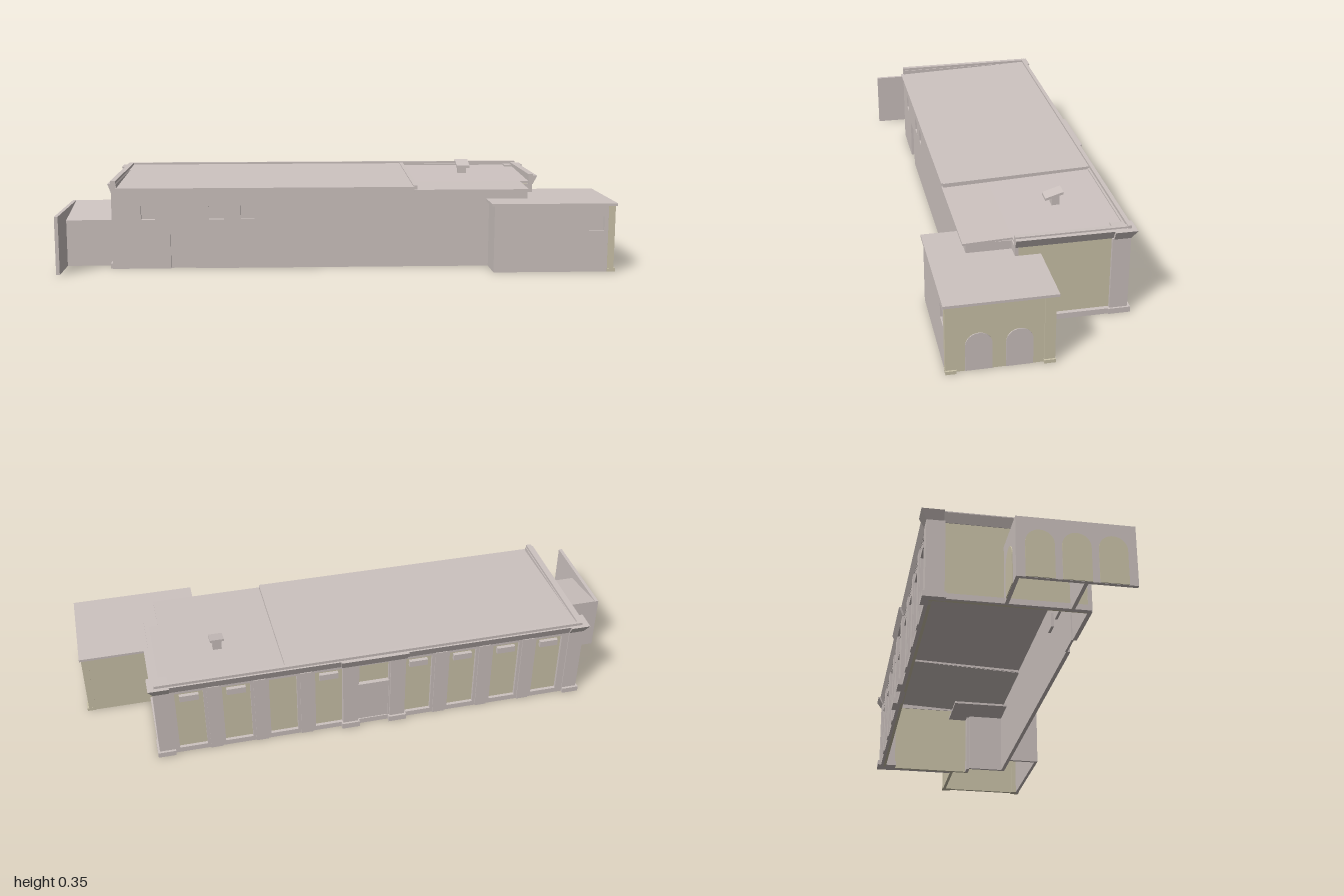
import * as THREE from 'three';

const pale = new THREE.MeshStandardMaterial({ color: 0xcdc3c0 });
pale.name = 'pale plaster';
const beige = new THREE.MeshStandardMaterial({ color: 0xcdc5ab });
beige.name = 'beige wall';

export function createModel() {
  const model = new THREE.Group();
  model.name = 'longHall';

  const add = (name, geo, mat) => {
    const mesh = new THREE.Mesh(geo, mat);
    mesh.name = name;
    model.add(mesh);
    return mesh;
  };
  const box = (name, mat, x0, x1, y0, y1, z0, z1) => {
    const g = new THREE.BoxGeometry(x1 - x0, y1 - y0, z1 - z0);
    g.translate((x0 + x1) / 2, (y0 + y1) / 2, (z0 + z1) / 2);
    return add(name, g, mat);
  };
  // Box whose top edges spread outwards, for the flared cornice
  const flare = (name, x0, x1, z0, z1, left, right, back, y0 = 0.28, y1 = 0.312) => {
    const mesh = box(name, pale, x0, x1, y0, y1, z0, z1);
    const p = mesh.geometry.attributes.position;
    const mx = (x0 + x1) / 2, mz = (z0 + z1) / 2, my = (y0 + y1) / 2;
    for (let i = 0; i < p.count; i++) {
      if (p.getY(i) < my) continue;
      p.setX(i, p.getX(i) + (p.getX(i) < mx ? -left : right));
      if (p.getZ(i) < mz) p.setZ(i, p.getZ(i) - back);
    }
    mesh.geometry.computeVertexNormals();
  };
  // Outline of [z, y] points swept from x0 to x1
  const prism = (name, mat, pts, x0, x1) => {
    const shape = new THREE.Shape(pts.map(([z, y]) => new THREE.Vector2(-z, y)));
    const g = new THREE.ExtrudeGeometry(shape, { depth: x1 - x0, bevelEnabled: false });
    g.rotateY(Math.PI / 2).translate(x0, 0, 0);
    add(name, g, mat);
  };
  // Upright wall in the xy plane with rectangular holes [x0, x1, y0, y1]
  const wall = (name, mat, outline, holes, z0, z1) => {
    const shape = new THREE.Shape(outline.map(([x, y]) => new THREE.Vector2(x, y)));
    for (const [a, b, c, d] of holes) {
      shape.holes.push(new THREE.Path([[a, c], [a, d], [b, d], [b, c]].map(([x, y]) => new THREE.Vector2(x, y))));
    }
    const g = new THREE.ExtrudeGeometry(shape, { depth: z1 - z0, bevelEnabled: false });
    add(name, g.translate(0, 0, z0), mat);
  };
  // Thin round-headed panel
  const arch = (name, mat, w, h, x, z, turn) => {
    const r = w / 2, s = new THREE.Shape();
    s.moveTo(-r, 0);
    s.lineTo(r, 0);
    s.lineTo(r, h - r);
    s.absarc(0, h - r, r, 0, Math.PI, false);
    const g = new THREE.ExtrudeGeometry(s, { depth: 0.004, bevelEnabled: false, curveSegments: 10 });
    add(name, g.rotateY(turn).translate(x, 0.001, z), mat);
  };

  // Front wall with recessed windows and door
  const windows = [[-0.705, -0.655, 0.18, 0.23], [-0.46, -0.405, 0.18, 0.23], [-0.345, -0.295, 0.18, 0.23]];
  wall('frontWall', pale, [[-0.81, 0], [-0.6, 0], [-0.6, 0.15], [-0.51, 0.15], [-0.51, 0], [0.7, 0],
    [0.7, 0.279], [0.287, 0.279], [0.287, 0.291], [-0.81, 0.291]], windows, 0.2, 0.214);
  windows.forEach(([a, b, c, d]) => box('frontWindow', pale, a - 0.002, b + 0.002, c - 0.002, d + 0.002, 0.19, 0.2));
  box('frontDoor', pale, -0.602, -0.508, 0, 0.152, 0.196, 0.204);

  // End walls, with the step in the corner beside the side block
  box('rightEndWall', beige, -0.808, -0.796, 0, 0.29, -0.31, 0.2);
  box('leftEndWall', beige, 0.738, 0.75, 0, 0.285, -0.31, 0.06);
  box('cornerReturnWall', pale, 0.7, 0.75, 0, 0.28, 0.05, 0.062);
  box('cornerSideWall', pale, 0.688, 0.7, 0, 0.28, 0.06, 0.2);
  box('rightEndPlinth', pale, -0.818, -0.8, 0, 0.02, -0.3, 0.21);
  box('leftEndPlinth', pale, 0.745, 0.765, 0, 0.02, -0.3, -0.015);

  // Back wall: beige infill behind a pale frame of bays
  const cx = -0.025, pitch = 0.166;
  const bays = [];
  for (let k = -4; k <= 4; k++) {
    const x = cx + k * pitch, half = k === 0 ? 0.055 : 0.05;
    bays.push([x - half, x + half, 0.02, 0.27]);
    if (k !== 0 && k !== 2) box('ventBox', pale, x - 0.034, x + 0.034, 0.232, 0.256, -0.32, -0.3);
  }
  box('backInfill', beige, -0.8, 0.745, 0, 0.3, -0.306, -0.296);
  wall('backFrame', pale, [[-0.81, 0], [0.755, 0], [0.755, 0.31], [-0.81, 0.31]], bays, -0.318, -0.306);
  box('backDoor', pale, cx - 0.055, cx + 0.055, 0, 0.18, -0.314, -0.3);
  box('backDoorHead', pale, cx - 0.058, cx + 0.058, 0.18, 0.188, -0.322, -0.3);

  // Pilasters between the bays, wider ones beside the back door
  for (const s of [-1, 1]) {
    for (const k of [1.5, 2.5, 3.5]) {
      const x = cx + s * k * pitch;
      box('pilaster', pale, x - 0.022, x + 0.022, 0, 0.28, -0.322, -0.31);
    }
    const x = cx + s * 0.088;
    box('doorPilaster', pale, x - 0.028, x + 0.028, 0, 0.28, -0.326, -0.31);
    box('doorPilasterBase', pale, x - 0.033, x + 0.033, 0, 0.022, -0.334, -0.31);
  }

  // Corner piers with bases and flared heads
  for (const [x0, x1, l, r] of [[-0.82, -0.765, 0.015, 0], [0.705, 0.762, 0, 0.016]]) {
    box('cornerPier', pale, x0, x1, 0, 0.282, -0.322, -0.26);
    box('cornerPierBase', pale, x0 - (l ? 0.007 : 0), x1 + (r ? 0.007 : 0), 0, 0.02, -0.331, -0.255);
    flare('cornerPierHead', x0, x1, -0.322, -0.265, l, r, 0.018);
  }

  // Cornice along the back and both ends
  flare('backCornice', -0.81, 0.755, -0.319, -0.305, 0, 0, 0.013);
  flare('doorCornice', cx - 0.12, cx + 0.12, -0.326, -0.305, 0.004, 0.004, 0.014);
  flare('rightEndCornice', -0.81, -0.79, -0.31, 0.214, 0.012, 0, 0);
  flare('leftEndCornice', 0.735, 0.752, -0.31, 0.062, 0, 0.016, 0);
  box('backParapet', pale, -0.81, 0.755, 0.3, 0.322, -0.325, -0.312);
  box('rightParapet', pale, -0.812, -0.793, 0.29, 0.322, -0.32, 0.215);
  box('leftParapet', pale, 0.735, 0.752, 0.29, 0.318, -0.32, 0.062);

  // Sloping roofs, the right-hand one a little higher, with a dividing kerb
  prism('mainRoof', pale, [[0.225, 0.289], [0.225, 0.296], [-0.315, 0.315], [-0.315, 0.308]], -0.795, 0.285);
  prism('lowRoof', pale, [[0.06, 0.2845], [0.06, 0.2915], [-0.315, 0.308], [-0.315, 0.301]], 0.285, 0.738);
  prism('lowRoofEave', pale, [[0.225, 0.278], [0.225, 0.285], [0.06, 0.2915], [0.06, 0.2845]], 0.285, 0.703);
  prism('roofKerb', pale, [[0.22, 0.28], [0.22, 0.3], [-0.31, 0.318], [-0.31, 0.3]], 0.282, 0.296);

  // Roof vent with a tilted cap
  box('roofVent', pale, 0.494, 0.526, 0.295, 0.334, -0.142, -0.115);
  prism('roofVentCap', pale, [[-0.09, 0.323], [-0.09, 0.332], [-0.153, 0.351], [-0.153, 0.342]], 0.485, 0.535);

  // Side block on the left end
  wall('blockFrontWall', pale, [[0.56, 0], [0.99, 0], [0.99, 0.24], [0.56, 0.24]], [[0.9, 0.955, 0.15, 0.2]], 0.32, 0.332);
  box('blockWindow', pale, 0.898, 0.957, 0.148, 0.202, 0.308, 0.32);
  box('blockInnerWall', pale, 0.56, 0.572, 0, 0.24, 0.214, 0.325);
  box('blockSideWall', beige, 0.976, 0.988, 0, 0.24, -0.01, 0.322);
  box('blockBackWall', beige, 0.75, 0.985, 0, 0.24, -0.014, -0.002);
  box('blockRoof', pale, 0.55, 1, 0.24, 0.249, -0.024, 0.339);
  for (const [z0, z1] of [[0.3, 0.333], [-0.015, 0.02]]) {
    box('blockPier', beige, 0.97, 0.994, 0, 0.24, z0, z1);
    box('blockPierBase', beige, 0.97, 1, 0, 0.012, z0 - 0.001, z1 + 0.001);
  }
  for (const z of [0.227, 0.098]) arch('blockArch', pale, 0.086, 0.134, 0.987, z, Math.PI / 2);

  // Lean-to on the right end, with a long arched screen wall
  box('leanToFront', pale, -0.99, -0.808, 0, 0.168, 0.143, 0.155);
  box('leanToBack', pale, -0.99, -0.808, 0, 0.204, -0.07, -0.058);
  prism('leanToRoof', pale, [[0.155, 0.162], [0.155, 0.17], [-0.07, 0.21], [-0.07, 0.202]], -0.99, -0.806);
  box('screenWall', pale, -0.997, -0.984, 0, 0.21, -0.07, 0.31);
  for (const z of [0.005, 0.12, 0.235]) arch('screenArch', beige, 0.092, 0.165, -0.996, z, -Math.PI / 2);
  arch('leanToArch', beige, 0.1, 0.15, -0.9, -0.069, Math.PI);

  return model;
}
